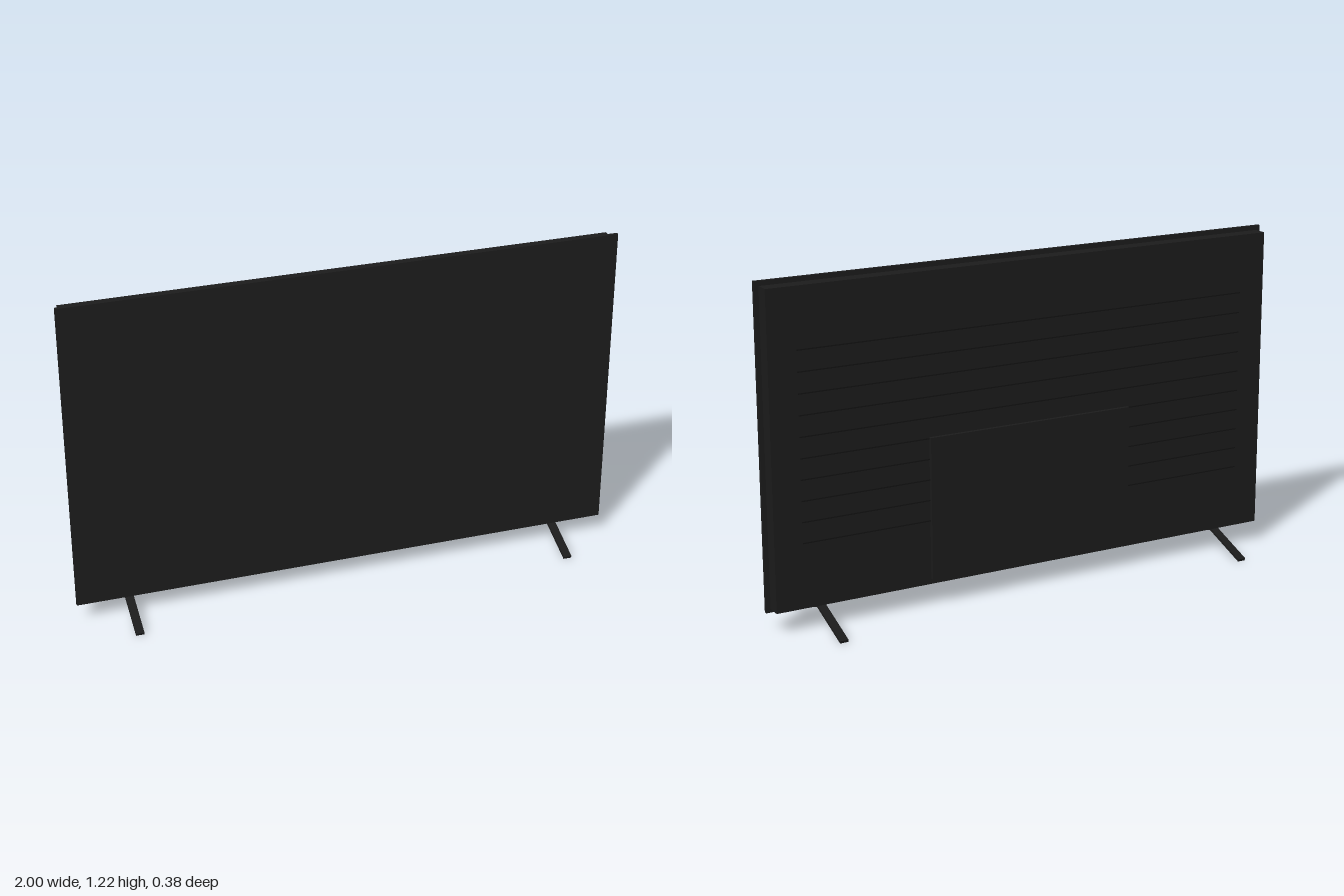
import * as THREE from 'three';

export function createModel() {
  const group = new THREE.Group();
  const black = new THREE.MeshStandardMaterial({ color: 0x1b1b1b });
  black.name = 'matte black';
  const ventBlack = new THREE.MeshStandardMaterial({ color: 0x111111 });
  ventBlack.name = 'vent black';

  // Box given by its minimum and maximum corners
  function box(name, material, [x0, y0, z0], [x1, y1, z1]) {
    const mesh = new THREE.Mesh(new THREE.BoxGeometry(x1 - x0, y1 - y0, z1 - z0), material);
    mesh.position.set((x0 + x1) / 2, (y0 + y1) / 2, (z0 + z1) / 2);
    mesh.name = name;
    group.add(mesh);
  }

  // Thin screen, slightly smaller housing and raised electronics cover
  box('screenPanel', black, [-1, 0.067, 0.027], [1, 1.217, 0.039]);
  box('rearHousing', black, [-0.983, 0.08, -0.026], [0.983, 1.2, 0.027]);
  box('electronicsCover', black, [-0.4, 0.1, -0.039], [0.4, 0.617, -0.026]);

  // Horizontal vent ribs across the back
  for (let i = 0; i < 10; i++) {
    const y = 0.985 - i * 0.0745;
    box('ventRib' + (i + 1), ventBlack, [-0.88, y - 0.002, -0.029], [0.88, y + 0.002, -0.026]);
  }

  // Inverted V feet, profile drawn in (z, y)
  const profile = new THREE.Shape([
    [-0.192, 0.009], [-0.189, 0], [0, 0.067], [0.189, 0], [0.192, 0.009], [0, 0.077],
  ].map(([z, y]) => new THREE.Vector2(z, y)));
  const footGeometry = new THREE.ExtrudeGeometry(profile, { depth: 0.03, bevelEnabled: false });
  footGeometry.translate(0, 0, -0.015);
  footGeometry.rotateY(Math.PI / 2);
  for (const side of [-1, 1]) {
    const foot = new THREE.Mesh(footGeometry, black);
    foot.position.x = side * 0.81;
    foot.name = side > 0 ? 'leftFoot' : 'rightFoot';
    group.add(foot);
    // Short mount joining the foot to the housing
    box(side > 0 ? 'leftFootMount' : 'rightFootMount', black,
      [side * 0.81 - 0.015, 0.07, -0.008], [side * 0.81 + 0.015, 0.082, 0.008]);
  }

  return group;
}
